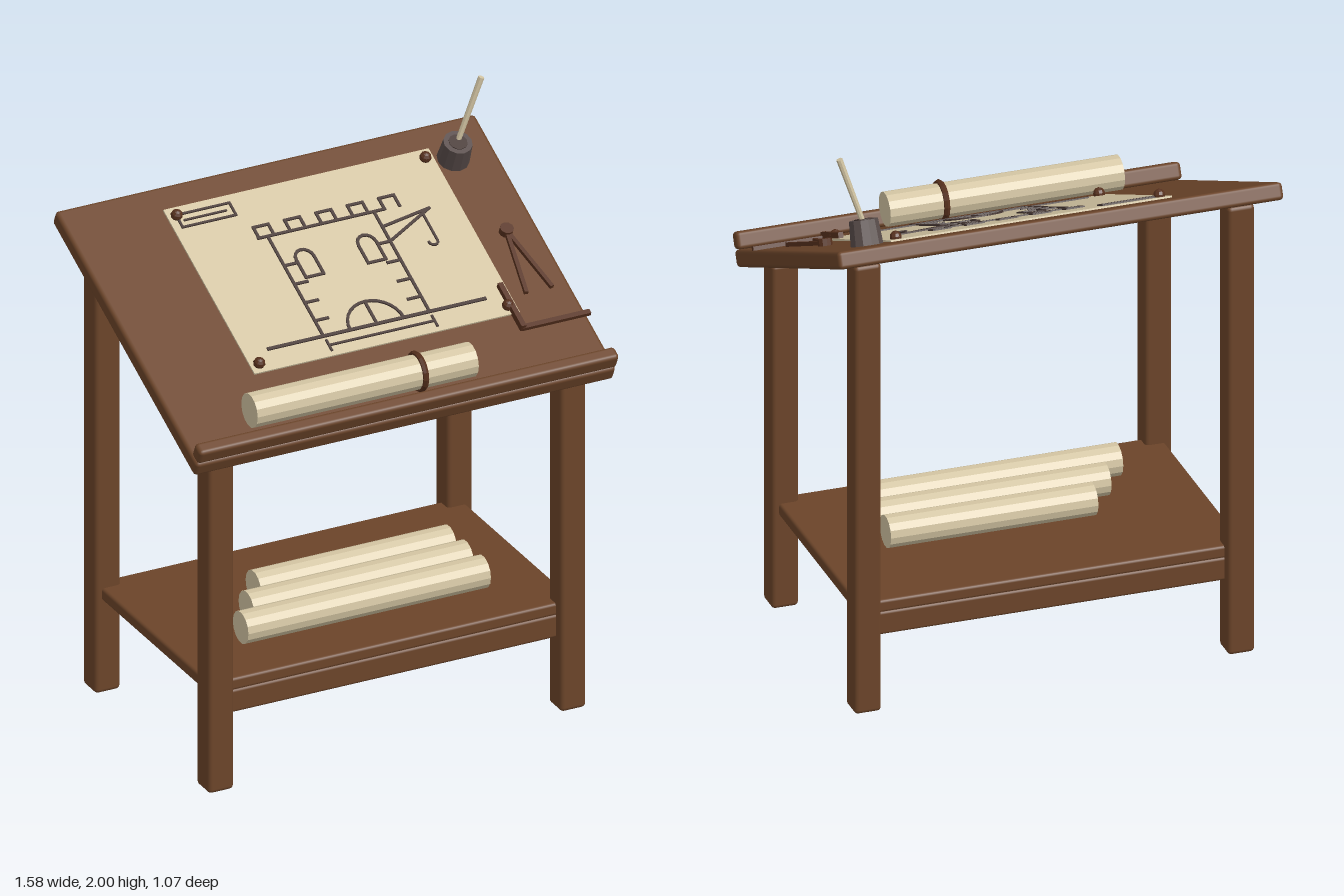
import * as THREE from 'three';
import { mergeGeometries } from 'three/addons/utils/BufferGeometryUtils.js';
import { RoundedBoxGeometry } from 'three/addons/geometries/RoundedBoxGeometry.js';

const mat = (name, color) => {
  const m = new THREE.MeshStandardMaterial({ color });
  m.name = name;
  return m;
};

export function createModel() {
  const wood = mat('wood', 0x6b4429);
  const darkWood = mat('dark wood', 0x56301d);
  const paper = mat('paper', 0xd2c4a2);
  const ink = mat('ink', 0x463733);
  const pot = mat('ink pot', 0x574b49);
  for (const m of [paper, pot, darkWood]) m.flatShading = true;

  const model = new THREE.Group();
  model.name = 'draftingTable';
  const add = (parent, name, geo, material, x = 0, y = 0, z = 0) => {
    const mesh = new THREE.Mesh(geo, material);
    mesh.name = name;
    mesh.position.set(x, y, z);
    parent.add(mesh);
    return mesh;
  };
  const rounded = (w, h, d, r = 0.014) => new RoundedBoxGeometry(w, h, d, 2, r);
  const CX = -0.0075;

  // Legs, taller at the back
  for (const s of [-1, 1]) {
    add(model, 'frontLeg', rounded(0.094, 1.275, 0.094), wood, CX + s * 0.657, 0.6375, 0.402);
    add(model, 'backLeg', rounded(0.094, 1.662, 0.094), wood, CX + s * 0.657, 0.831, -0.423);
  }

  // Shelf with a rail under its front and back edges
  add(model, 'shelf', rounded(1.36, 0.045, 0.84, 0.01), wood, CX, 0.367, -0.0105);
  for (const z of [0.392, -0.413])
    add(model, 'rail', rounded(1.3, 0.085, 0.04, 0.01), wood, CX, 0.306, z);

  // Paper rolls
  const roll = (parent, name, x0, x1, y, z, r) =>
    add(parent, name, new THREE.CylinderGeometry(r, r, x1 - x0, 14).rotateZ(Math.PI / 2),
      paper, (x0 + x1) / 2, y, z);
  [-0.46, -0.375, -0.285].forEach((x0, i) =>
    roll(model, 'shelfRoll', x0, 0.445, 0.447, 0.188 - i * 0.124, 0.057));

  // Tilted board: everything on it lives in its local frame (y = normal, z = down the slope)
  const desk = new THREE.Group();
  desk.name = 'tiltedDesk';
  desk.position.set(0, 1.489, -0.013);
  desk.rotation.x = THREE.MathUtils.degToRad(25);
  model.add(desk);
  add(desk, 'board', rounded(1.566, 0.06, 1.14), wood, CX, 0, 0);
  add(desk, 'ledge', rounded(1.566, 0.06, 0.05), wood, CX, 0.06, 0.545);
  roll(desk, 'deskRoll', -0.55, 0.275, 0.091, 0.444, 0.06);
  add(desk, 'rollBand', new THREE.TorusGeometry(0.061, 0.011, 6, 16).rotateY(Math.PI / 2),
    darkWood, 0.077, 0.091, 0.444);

  // Drawing sheet; Z converts a depth seen from above into slope distance
  const Z = z => (z - 0.002) / 0.906;
  add(desk, 'drawingSheet', new THREE.BoxGeometry(0.99, 0.006, 0.733), paper, 0.06, 0.033, Z(-0.091));

  // Thin bar between two points lying on the sheet
  const bar = (x1, z1, x2, z2, w, h, y) => {
    const dx = x2 - x1, dz = Z(z2) - Z(z1);
    return new THREE.BoxGeometry(Math.hypot(dx, dz) + w * 0.8, h, w)
      .rotateY(-Math.atan2(dz, dx))
      .translate((x1 + x2) / 2, y, (Z(z1) + Z(z2)) / 2);
  };
  const strokes = [];
  const stroke = (points, w = 0.01) => {
    for (let i = 1; i < points.length; i++)
      strokes.push(bar(...points[i - 1], ...points[i], w, 0.008, 0.037));
  };
  const arc = (cx, cz, rx, rz, a0, a1, n = 10) => Array.from({ length: n + 1 }, (_, i) => {
    const a = a0 + (a1 - a0) * i / n;
    return [cx + rx * Math.cos(a), cz - rz * Math.sin(a)];
  });

  // Tower walls, ground, battlements
  stroke([[-0.345, 0.165], [0.463, 0.165]], 0.012);
  stroke([[-0.175, -0.24], [0.294, -0.24]]);
  for (const x of [-0.14, 0.256]) stroke([[x, -0.24], [x, 0.165]]);
  for (let i = 0; i < 5; i++) {
    const x = -0.172 + i * 0.117;
    stroke([[x, -0.24], [x, -0.283], [x + 0.056, -0.283], [x + 0.056, -0.24]]);
  }
  // Stone courses
  for (const z of [-0.12, -0.045, 0.03, 0.103]) {
    stroke([[-0.14, z], [-0.092, z]]);
    stroke([[0.208, z], [0.256, z]]);
  }
  // Arched windows and gate
  for (const x of [-0.056, 0.176])
    stroke([[x + 0.033, -0.06], ...arc(x, -0.13, 0.033, 0.034, 0, Math.PI, 8),
      [x - 0.033, -0.06], [x + 0.033, -0.06]]);
  stroke(arc(0.06, 0.165, 0.1, 0.09, 0, Math.PI, 14));
  stroke([[0.06, 0.165], [0.06, 0.076]]);
  // Crane with hook
  stroke([[0.256, -0.178], [0.445, -0.207], [0.256, -0.12]]);
  stroke([[0.414, -0.195], [0.414, -0.085], ...arc(0.398, -0.085, 0.016, 0.015, 0, -Math.PI, 6)], 0.008);
  // Dimension line and title block
  stroke([[-0.138, 0.202], [0.256, 0.202]], 0.008);
  for (const x of [-0.138, 0.256]) stroke([[x, 0.183], [x, 0.222]], 0.008);
  stroke([[-0.404, -0.392], [-0.205, -0.392], [-0.205, -0.343], [-0.404, -0.343], [-0.404, -0.392]], 0.008);
  stroke([[-0.385, -0.367], [-0.23, -0.367]], 0.007);
  add(desk, 'towerDrawing', mergeGeometries(strokes), ink);

  // Pins at the sheet corners
  for (const x of [-0.404, 0.524])
    for (const z of [-0.389, 0.211])
      add(desk, 'pin', new THREE.SphereGeometry(0.021, 10, 6), darkWood, x, 0.043, Z(z));

  // Dividers
  for (const x of [0.61, 0.704])
    add(desk, 'dividerLeg', bar(0.657, -0.06, x, 0.175, 0.014, 0.014, 0.04), darkWood);
  add(desk, 'dividerHinge', new THREE.CylinderGeometry(0.024, 0.024, 0.024, 10), darkWood, 0.657, 0.043, Z(-0.06));

  // Set square
  add(desk, 'squareBlade', bar(0.54, 0.3, 0.778, 0.3, 0.018, 0.014, 0.037), darkWood);
  add(desk, 'squareStock', bar(0.533, 0.138, 0.533, 0.3, 0.018, 0.026, 0.043), darkWood);

  // Ink pot
  add(desk, 'inkPot', new THREE.CylinderGeometry(0.05, 0.056, 0.085, 12), pot, 0.62, 0.0725, -0.41);
  add(desk, 'inkSurface', new THREE.CylinderGeometry(0.032, 0.032, 0.004, 12), ink, 0.62, 0.116, -0.41);

  // Quill standing in the pot
  const from = new THREE.Vector3(0.615, 1.73, -0.352), to = new THREE.Vector3(0.7, 1.997, -0.322);
  const dir = to.clone().sub(from);
  const quill = add(model, 'quill', new THREE.CylinderGeometry(0.011, 0.009, dir.length(), 8), paper);
  quill.position.copy(from).addScaledVector(dir, 0.5);
  quill.quaternion.setFromUnitVectors(new THREE.Vector3(0, 1, 0), dir.normalize());

  return model;
}
